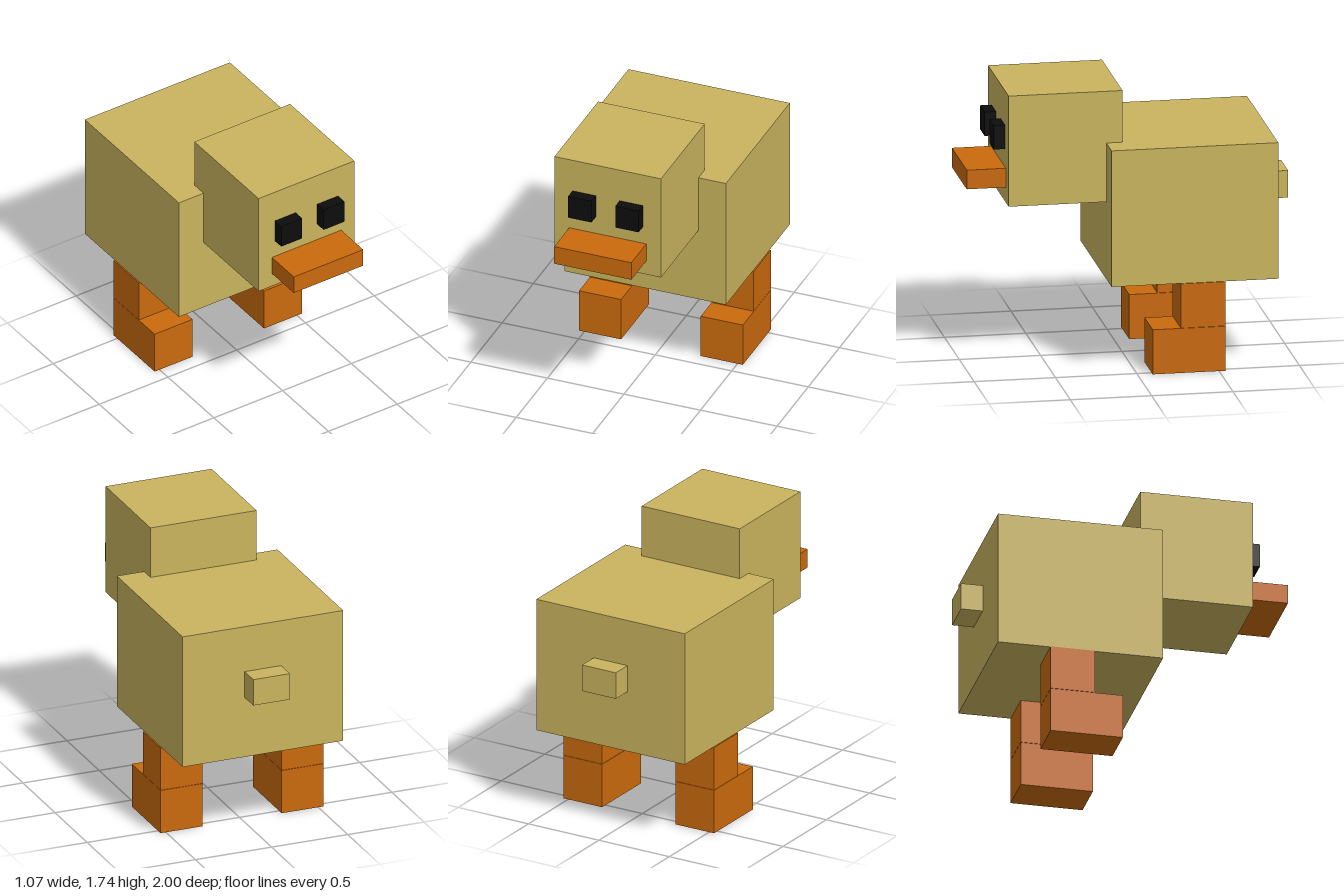
import * as THREE from 'three';

const material = (name, color) => {
  const m = new THREE.MeshStandardMaterial({ color });
  m.name = name;
  return m;
};

export function createModel() {
  const model = new THREE.Group();
  model.name = 'duckling';
  const down = material('yellow down', 0xc9b45e);
  const orange = material('orange', 0xca6a0d);
  const black = material('eye black', 0x0d0d0d);

  // Adds a block spanning the given [min, max] ranges
  const block = (name, mat, [x0, x1], [y0, y1], [z0, z1]) => {
    const mesh = new THREE.Mesh(new THREE.BoxGeometry(x1 - x0, y1 - y0, z1 - z0), mat);
    mesh.position.set((x0 + x1) / 2, (y0 + y1) / 2, (z0 + z1) / 2);
    mesh.name = name;
    model.add(mesh);
  };

  // Torso, tail and head
  block('body', down, [-0.527, 0.527], [0.56, 1.415], [-0.865, 0.16]);
  block('tail', down, [-0.12, 0.12], [0.95, 1.12], [-1, -0.86]);
  block('head', down, [-0.348, 0.348], [1.045, 1.74], [0.06, 0.76]);
  block('beak', orange, [-0.252, 0.252], [1.14, 1.26], [0.755, 1]);

  // Mirrored eyes, legs and feet
  for (const [side, s] of [['left', 1], ['right', -1]]) {
    const span = (a, b) => (s > 0 ? [a, b] : [-b, -a]);
    block(side + 'Eye', black, span(0.078, 0.23), [1.375, 1.525], [0.755, 0.83]);
    block(side + 'Leg', orange, span(0.26, 0.535), [0.282, 0.56], [-0.54, -0.264]);
    block(side + 'Foot', orange, span(0.26, 0.535), [0, 0.28], [-0.54, -0.092]);
  }
  return model;
}
